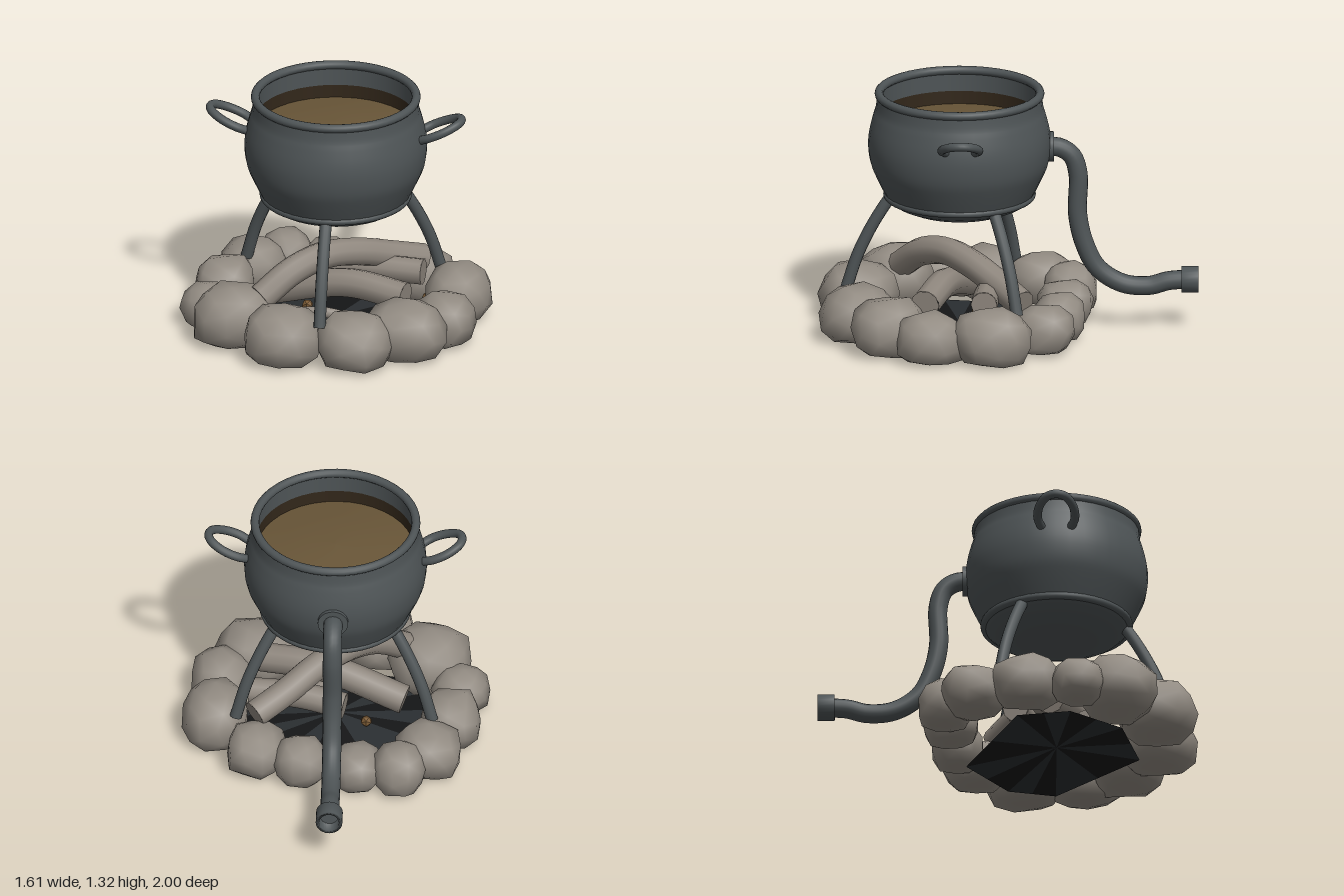
import * as THREE from 'three';
import { mergeVertices } from 'three/addons/utils/BufferGeometryUtils.js';

const mat = (name, color, side = THREE.FrontSide) => {
  const m = new THREE.MeshStandardMaterial({ color, side });
  m.name = name;
  return m;
};
const V = (x, y, z) => new THREE.Vector3(x, y, z);

export function createModel() {
  const iron = mat('iron', 0x4e5456, THREE.DoubleSide);
  const stone = mat('stone', 0x938c83);
  const wood = mat('weathered wood', 0x8f877e);
  const broth = mat('broth', 0x695638, THREE.DoubleSide);
  const stain = mat('broth stain', 0x32271a, THREE.DoubleSide);
  const ash = mat('ash', 0x2a2e31, THREE.DoubleSide);
  const charcoal = mat('charcoal', 0x151617, THREE.DoubleSide);
  const ember = mat('ember', 0x7a5a34);

  const model = new THREE.Group();
  const potX = 0.004, potZ = 0.255;
  let seed = 7;
  const rand = () => (seed = (seed * 16807) % 2147483647) / 2147483647;

  const add = (parent, name, geometry, material, x = 0, y = 0, z = 0) => {
    const mesh = new THREE.Mesh(geometry, material);
    mesh.name = name;
    mesh.position.set(x, y, z);
    parent.add(mesh);
    return mesh;
  };
  const lathe = (pts, n = 40) =>
    new THREE.LatheGeometry(pts.map(([r, y]) => new THREE.Vector2(r, y)), n);

  // Tube along a smooth path with flat ends
  const rod = (parent, name, pts, r, material, segs = 24, sides = 12) => {
    const curve = new THREE.CatmullRomCurve3(pts.map((p) => V(...p)));
    const g = new THREE.Group();
    g.name = name;
    add(g, name + 'Body', new THREE.TubeGeometry(curve, segs, r, sides), material);
    for (const t of [0, 1]) {
      const p = curve.getPoint(t);
      const dir = curve.getTangent(t).multiplyScalar(t ? 1 : -1);
      add(g, name + 'End', new THREE.CircleGeometry(r, sides), material, p.x, p.y, p.z)
        .quaternion.setFromUnitVectors(V(0, 0, 1), dir);
    }
    parent.add(g);
    return g;
  };

  // Cauldron
  const pot = new THREE.Group();
  pot.name = 'cauldron';
  pot.position.set(potX, 0, potZ);
  model.add(pot);
  const wall = new THREE.SplineCurve([
    [0.385, 0.735], [0.436, 0.84], [0.468, 0.92], [0.48, 1.01], [0.474, 1.09],
    [0.455, 1.17], [0.44, 1.22], [0.432, 1.29],
  ].map((p) => new THREE.Vector2(...p))).getPoints(24).map((p) => [p.x, p.y]);
  add(pot, 'potBody', lathe([[0, 0.65], [0.2, 0.65], [0.27, 0.665], [0.34, 0.695], ...wall]), iron);
  add(pot, 'potInside', lathe([[0.415, 1.30], [0.415, 1.18]]), iron);
  add(pot, 'brothStain', lathe([[0.415, 1.18], [0.415, 1.11]]), stain);
  add(pot, 'brothSurface', lathe([[0.415, 1.11], [0.28, 1.13], [0.14, 1.145], [0, 1.15]]), broth);
  for (const [name, r, t, y] of [['rim', 0.423, 0.023, 1.292], ['lowerBand', 0.381, 0.02, 0.742]])
    add(pot, name, new THREE.TorusGeometry(r, t, 12, 48), iron, 0, y, 0).rotation.x = Math.PI / 2;

  // Curved legs, a third of a turn apart
  for (let i = 0; i < 3; i++) {
    rod(pot, 'leg', [[0, 0.75, 0.345], [0, 0.67, 0.4], [0, 0.55, 0.47], [0, 0.41, 0.535], [0, 0.225, 0.595]],
      0.032, iron).rotation.y = (i * Math.PI * 2) / 3;
  }

  // Loop handles
  for (const s of [-1, 1]) {
    rod(pot, 'handle', [
      [0.45, 1.1, 0.075], [0.51, 1.127, 0.097], [0.59, 1.162, 0.088], [0.65, 1.19, 0.048], [0.666, 1.197, 0],
      [0.65, 1.19, -0.048], [0.59, 1.162, -0.088], [0.51, 1.127, -0.097], [0.45, 1.1, -0.075],
    ].map(([x, y, z]) => [x * s, y, z]), 0.023, iron, 40);
  }

  // Drain pipe with wall flange and hollow end collar
  add(model, 'pipeFlange', new THREE.CylinderGeometry(0.08, 0.08, 0.035, 24), iron, potX, 1, -0.222)
    .rotation.x = Math.PI / 2;
  rod(model, 'drainPipe', [
    [0, 1, -0.2], [0, 0.995, -0.27], [0, 0.95, -0.335], [0, 0.85, -0.367], [0, 0.63, -0.365], [0, 0.47, -0.4],
    [0, 0.335, -0.47], [0, 0.25, -0.6], [0, 0.236, -0.74], [0, 0.262, -0.84], [0, 0.27, -0.94],
  ], 0.05, iron, 60, 16).position.x = potX;
  add(model, 'pipeCollar', lathe([[0.045, 0], [0.07, 0], [0.07, 0.09], [0.052, 0.09], [0.052, 0.025], [0, 0.025]], 24),
    iron, potX, 0.27, -0.91).rotation.x = -Math.PI / 2;

  // Ring of rounded stones: x, z, half width, half depth, height
  const stones = [
    [-0.2, 0.785, 0.22, 0.21, 0.3], [0.18, 0.785, 0.21, 0.21, 0.285], [-0.49, 0.58, 0.23, 0.21, 0.31],
    [0.43, 0.63, 0.22, 0.2, 0.295], [-0.655, 0.37, 0.155, 0.14, 0.23], [0.61, 0.41, 0.16, 0.19, 0.27],
    [0.63, 0.09, 0.175, 0.21, 0.29], [-0.61, 0.1, 0.16, 0.19, 0.27], [-0.5, -0.17, 0.18, 0.18, 0.26],
    [-0.345, -0.33, 0.145, 0.15, 0.25], [-0.12, -0.3, 0.14, 0.15, 0.22], [0.17, -0.27, 0.15, 0.145, 0.24],
    [0.41, -0.18, 0.16, 0.17, 0.25],
  ];
  for (const [x, z, rx, rz, h] of stones) {
    let g = new THREE.IcosahedronGeometry(1, 1);
    g.deleteAttribute('normal');
    g.deleteAttribute('uv');
    g = mergeVertices(g, 1e-3);
    g.rotateY(rand() * 6.28);
    g.rotateX(rand() * 0.6);
    const p = g.attributes.position;
    const bulge = (a) => Math.sign(a) * Math.abs(a) ** 0.87;
    for (let i = 0; i < p.count; i++) {
      const k = 0.92 + rand() * 0.14;
      const y = Math.max(-0.75, bulge(p.getY(i)) * k);
      p.setXYZ(i, bulge(p.getX(i)) * k * rx, ((y + 0.75) * h) / 1.75, bulge(p.getZ(i)) * k * rz);
    }
    g.computeVertexNormals();
    add(model, 'stone', g, stone, x, 0.006, z);
  }

  // Firewood
  rod(model, 'archedLog', [[-0.35, 0.25, 0.56], [-0.2, 0.365, 0.45], [-0.05, 0.41, 0.32], [0.1, 0.385, 0.19],
    [0.26, 0.32, 0.05], [0.42, 0.26, -0.07]], 0.075, wood, 28, 10);
  rod(model, 'frontLog', [[0.4, 0.25, 0.44], [0.08, 0.27, 0.34], [-0.36, 0.15, 0.22]], 0.078, wood, 16, 10);
  rod(model, 'backLog', [[0.45, 0.265, 0.13], [0.2, 0.265, 0.1], [-0.05, 0.24, 0.04]], 0.07, wood, 16, 10);
  rod(model, 'stick', [[-0.28, 0.09, 0.4], [-0.05, 0.12, 0.4], [0.15, 0.08, 0.4]], 0.03, wood, 12, 8);

  // Ash bed: a shallow uneven fan of alternating wedges
  const edge = [[0.53, 0.25], [0.47, 0], [0.16, -0.22], [-0.48, 0.05], [-0.53, 0.33], [-0.32, 0.6], [0.08, 0.69]];
  const rimPoints = edge.flatMap(([x, z], i) => {
    const [nx, nz] = edge[(i + 1) % edge.length];
    return [V(x, 0, z), V((x + nx) / 2, 0, (z + nz) / 2)];
  });
  rimPoints.forEach((p, i) => {
    const next = rimPoints[(i + 1) % rimPoints.length];
    const g = new THREE.BufferGeometry().setFromPoints([V(0, 0.035, potZ), p, next]);
    g.computeVertexNormals();
    add(model, 'ashWedge', g, i % 2 ? ash : charcoal);
  });

  // Embers
  for (const [x, z] of [[-0.16, 0.16], [0.45, -0.02]])
    add(model, 'ember', new THREE.IcosahedronGeometry(0.032, 0), ember, x, 0.05, z);

  return model;
}
